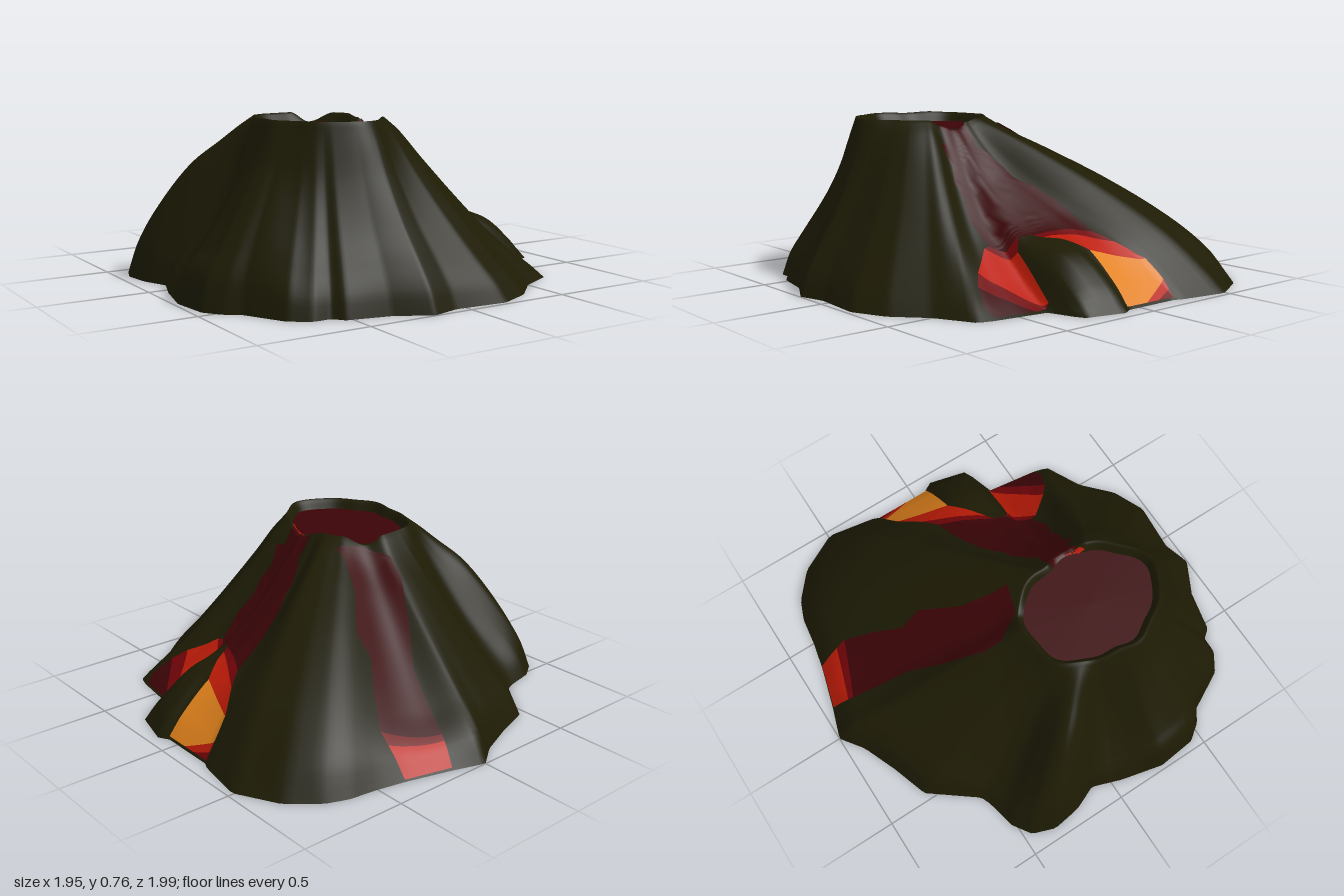
import * as THREE from 'three';

const mat = (name, color) => {
  const m = new THREE.MeshStandardMaterial({ color, side: THREE.DoubleSide });
  m.name = name;
  return m;
};
const CX = -0.28, CZ = 0.25, TAU = Math.PI * 2;

// Foot of the mountain, seen from above (x, z)
const outline = [
  [0, -1], [0.15, -0.95], [0.36, -0.89], [0.5, -0.86], [0.64, -0.84], [0.74, -0.8], [0.87, -0.69], [0.975, -0.49],
  [0.935, -0.25], [0.92, -0.22], [0.92, 0.07], [0.95, 0.11], [0.9, 0.31], [0.735, 0.36], [0.7, 0.62], [0.68, 0.69],
  [0.5, 0.78], [0.36, 0.91], [0.2, 0.98], [-0.05, 0.96], [-0.18, 0.995], [-0.34, 0.91], [-0.53, 0.87], [-0.57, 0.82],
  [-0.65, 0.82], [-0.74, 0.76], [-0.84, 0.57], [-0.9, 0.53], [-0.96, 0.45], [-0.98, 0.26], [-0.93, 0.05],
  [-0.88, -0.09], [-0.93, -0.21], [-0.95, -0.35], [-0.91, -0.46], [-0.82, -0.52], [-0.68, -0.55], [-0.63, -0.57],
  [-0.46, -0.79], [-0.28, -0.85], [-0.11, -0.92],
];

// Slope profiles: angle in degrees, then heights from rim to foot at the stops below
const stops = [0, 0.1, 0.25, 0.5, 0.75, 0.92, 1];
const profiles = [
  [-82, 0.755, 0.67, 0.575, 0.41, 0.24, 0.12, 0],
  [-67, 0.71, 0.62, 0.515, 0.335, 0.17, 0.075, 0],
  [-45, 0.755, 0.69, 0.61, 0.465, 0.29, 0.13, 0],
  [-31, 0.755, 0.7, 0.615, 0.46, 0.275, 0.1, 0],
  [-15, 0.74, 0.63, 0.5, 0.35, 0.22, 0.08, 0],
  [-2, 0.705, 0.6, 0.45, 0.28, 0.22, 0.1, 0],
  [8, 0.705, 0.6, 0.45, 0.25, 0.11, 0.03, 0],
  [16, 0.72, 0.61, 0.46, 0.26, 0.12, 0.04, 0],
  [31, 0.757, 0.7, 0.575, 0.375, 0.18, 0.065, 0],
  [90, 0.76, 0.67, 0.53, 0.345, 0.2, 0.09, 0],
  [125, 0.76, 0.66, 0.51, 0.33, 0.18, 0.08, 0],
  [150, 0.76, 0.685, 0.56, 0.41, 0.26, 0.13, 0],
  [174, 0.76, 0.67, 0.55, 0.385, 0.235, 0.14, 0],
  [201, 0.755, 0.65, 0.48, 0.29, 0.15, 0.06, 0],
  [222, 0.76, 0.72, 0.65, 0.53, 0.34, 0.16, 0],
  [242, 0.755, 0.66, 0.53, 0.33, 0.16, 0.06, 0],
];

const mod = (a, n) => ((a % n) + n) % n;
const footCorners = outline
  .map(([x, z]) => ({ a: mod(Math.atan2(z - CZ, x - CX), TAU), x: x - CX, z: z - CZ }))
  .sort((p, q) => p.a - q.a);

// Distance from the crater axis to the foot along a direction
function footRadius(a) {
  a = mod(a, TAU);
  const n = footCorners.length;
  let i = footCorners.findIndex(p => p.a > a);
  if (i < 0) i = 0;
  const p = footCorners[(i + n - 1) % n], q = footCorners[i];
  const c = Math.cos(a), s = Math.sin(a), dx = q.x - p.x, dz = q.z - p.z;
  return (p.x * dz - p.z * dx) / (c * dz - s * dx);
}
const rimRadius = a =>
  1 / Math.hypot(Math.cos(a) / 0.27, Math.sin(a) / 0.34) + 0.008 * Math.sin(5 * a) + 0.005 * Math.sin(9 * a + 1);

// Smooth height along one profile row
function along(row, t) {
  let k = 0;
  while (k < stops.length - 2 && t > stops[k + 1]) k++;
  const u = (t - stops[k]) / (stops[k + 1] - stops[k]);
  const slope = j => {
    const lo = Math.max(j - 1, 0), hi = Math.min(j + 1, stops.length - 1);
    return (row[hi + 1] - row[lo + 1]) / (stops[hi] - stops[lo]);
  };
  const d = stops[k + 1] - stops[k], u2 = u * u, u3 = u2 * u;
  return (2 * u3 - 3 * u2 + 1) * row[k + 1] + (u3 - 2 * u2 + u) * d * slope(k)
    + (3 * u2 - 2 * u3) * row[k + 2] + (u3 - u2) * d * slope(k + 1);
}

// Height of the mountain at a point
function height(x, z) {
  const a = Math.atan2(z - CZ, x - CX), r = Math.hypot(x - CX, z - CZ);
  const rim = rimRadius(a), t = Math.min(1, Math.max(0, (r - rim) / (footRadius(a) - rim)));
  const deg = mod((a * 180) / Math.PI + 82, 360) - 82;
  let k = profiles.length - 1;
  while (profiles[k][0] > deg) k--;
  const p = profiles[k], q = profiles[(k + 1) % profiles.length];
  const u = (deg - p[0]) / mod(q[0] - p[0], 360);
  const y = THREE.MathUtils.lerp(along(p, t), along(q, t), u * u * (3 - 2 * u));
  if (r >= rim) return Math.max(0, y);
  return THREE.MathUtils.lerp(y, 0.69, THREE.MathUtils.smoothstep(rim - r, 0, 0.05));
}

// Surface over a grid of points; point(i, j) gives [x, y, z]
function gridSurface(ni, nj, point, wrap) {
  const pos = [], idx = [], cols = wrap ? ni : ni + 1;
  for (let j = 0; j <= nj; j++) for (let i = 0; i < cols; i++) pos.push(...point(i, j));
  for (let j = 0; j < nj; j++) for (let i = 0; i < ni; i++) {
    const a = j * cols + i, b = j * cols + ((i + 1) % cols), c = a + cols, d = b + cols;
    idx.push(a, b, c, b, d, c);
  }
  const g = new THREE.BufferGeometry();
  g.setAttribute('position', new THREE.Float32BufferAttribute(pos, 3));
  g.setIndex(idx);
  g.computeVertexNormals();
  return g;
}

// Thin lava sheet draped on the slope; each row is [leftX, leftZ, rightX, rightZ]
function drape(rows) {
  const sub = 8, across = 14;
  return gridSurface(across, (rows.length - 1) * sub, (i, j) => {
    const k = Math.min(Math.floor(j / sub), rows.length - 2), u = j / sub - k, v = i / across;
    const [lx, lz, rx, rz] = rows[k].map((n, m) => THREE.MathUtils.lerp(n, rows[k + 1][m], u));
    const x = THREE.MathUtils.lerp(lx, rx, v), z = THREE.MathUtils.lerp(lz, rz, v);
    return [x, height(x, z) + 0.007, z];
  }, false);
}

export function createModel() {
  const group = new THREE.Group();
  const rock = mat('dark olive rock', 0x1d1b04);
  const crust = mat('cooled lava', 0x3c0407);
  const crimson = mat('crimson lava', 0x700408);
  const red = mat('red lava', 0xbc1b07);
  const gold = mat('golden lava', 0xe2821c);
  const add = (name, geometry, material) => {
    const m = new THREE.Mesh(geometry, material);
    m.name = name;
    group.add(m);
  };

  // Mountain shell, from the crater floor over the rim and down to the foot
  const inner = 10, outer = 40, seg = 288;
  add('mountain', gridSurface(seg, inner + outer, (i, j) => {
    const a = (i / seg) * TAU, rim = rimRadius(a);
    const r = j <= inner
      ? (j === 0 ? 0.001 : rim - 0.06 * (1 - j / inner))
      : THREE.MathUtils.lerp(rim, footRadius(a), (j - inner) / outer);
    const x = CX + r * Math.cos(a), z = CZ + r * Math.sin(a);
    return [x, j === inner + outer ? 0 : height(x, z), z];
  }, true), rock);

  // Lava pool in the crater
  add('craterLava', gridSurface(96, 1, (i, j) => {
    const a = (i / 96) * TAU, r = j ? rimRadius(a) - 0.028 : 0.001;
    return [CX + r * Math.cos(a), 0.712, CZ + r * Math.sin(a)];
  }, true), crust);
  add('craterSpill', drape([[-0.045, 0.28, -0.055, 0.38], [-0.02, 0.28, -0.035, 0.36]]), red);

  // Side flow down to the fork, with a ragged edge
  add('sideFlow', drape([
    [-0.05, 0.21, -0.035, 0.35], [0.03, 0.19, 0.03, 0.34], [0.06, 0.2, 0.05, 0.385], [0.1, 0.16, 0.1, 0.365],
    [0.17, 0.12, 0.15, 0.39], [0.22, 0.11, 0.2, 0.38], [0.3, 0.05, 0.28, 0.41], [0.4, 0.01, 0.39, 0.39],
    [0.47, -0.01, 0.46, 0.28], [0.6, -0.03, 0.48, 0.22],
  ]), crust);

  // Rear branch of the fork, in bands of colour
  const rear = [
    [0.6, -0.03, 0.48, 0.22], [0.68, -0.09, 0.52, 0.195], [0.78, -0.18, 0.69, 0.075],
    [0.83, -0.2, 0.915, 0.07], [0.86, -0.21, 0.915, -0.05], [0.89, -0.215, 0.915, -0.12], [0.915, -0.22, 0.915, -0.2],
  ];
  [crimson, red, gold, gold, red, crimson].forEach((m, i) => add('rearBranch' + (i + 1), drape(rear.slice(i, i + 2)), m));

  // Front branch of the fork
  const front = [
    [0.46, 0.28, 0.39, 0.39], [0.49, 0.31, 0.395, 0.42], [0.725, 0.345, 0.5, 0.54],
    [0.722, 0.41, 0.56, 0.59], [0.695, 0.61, 0.65, 0.63],
  ];
  [crimson, red, crimson, crust].forEach((m, i) => add('frontBranch' + (i + 1), drape(front.slice(i, i + 2)), m));

  // Back flow
  add('backFlow', drape([
    [-0.13, -0.05, 0, -0.01], [-0.2, -0.17, 0.01, -0.08], [-0.18, -0.26, 0.07, -0.22], [-0.07, -0.44, 0.2, -0.38],
    [0.02, -0.56, 0.2, -0.48], [0.06, -0.68, 0.29, -0.6], [0.11, -0.84, 0.37, -0.73],
  ]), crust);
  add('backFlowBand', drape([[0.11, -0.84, 0.37, -0.73], [0.12, -0.865, 0.37, -0.78]]), crimson);
  add('backFlowTip', drape([[0.12, -0.865, 0.37, -0.78], [0.15, -0.945, 0.37, -0.885]]), red);
  return group;
}
